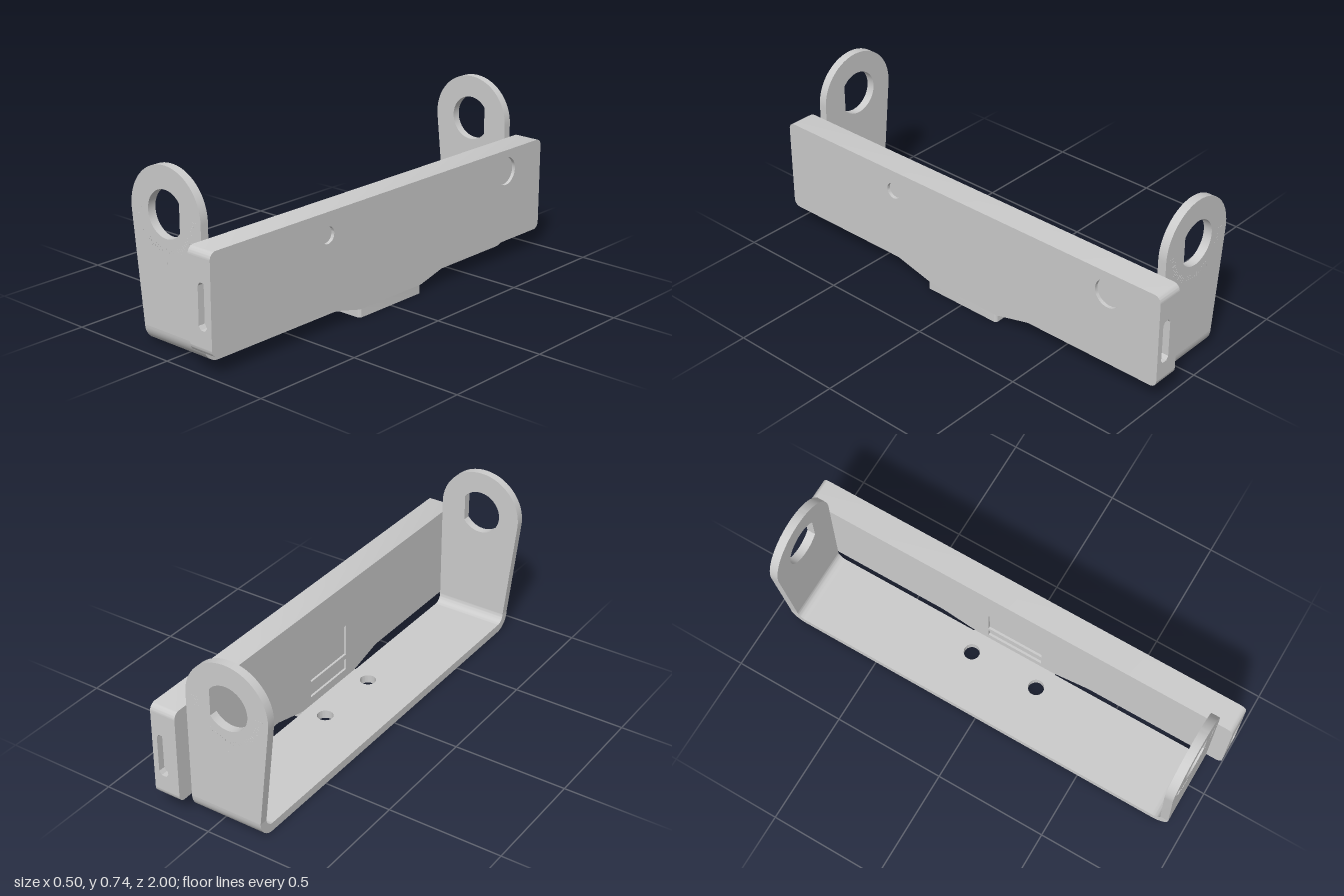
import * as THREE from 'three';
import { toCreasedNormals } from 'three/addons/utils/BufferGeometryUtils.js';

const V = (x, y) => new THREE.Vector2(x, y);
const mat = new THREE.MeshStandardMaterial({ color: 0xcccccc, side: THREE.DoubleSide });

function mesh(geo, name) {
  const m = new THREE.Mesh(geo, mat);
  m.name = name;
  return m;
}

// points along an arc, counter-clockwise from a0 to a1
function arc(cx, cy, r, a0, a1, n = 10) {
  return Array.from({ length: n + 1 }, (_, i) => {
    const a = a0 + (a1 - a0) * i / n;
    return V(cx + r * Math.cos(a), cy + r * Math.sin(a));
  });
}
const circle = (cx, cy, r, n = 36) => arc(cx, cy, r, 0, 2 * Math.PI, n).slice(0, -1);
const rect = (x0, y0, x1, y1) => [V(x0, y0), V(x1, y0), V(x1, y1), V(x0, y1)];

function shapeOf(pts, holes = []) {
  const s = new THREE.Shape(pts);
  holes.forEach(h => s.holes.push(new THREE.Path(h)));
  return s;
}

function extrude(pts, holes, depth) {
  const g = new THREE.ExtrudeGeometry(shapeOf(pts, holes), { depth, bevelEnabled: false });
  return toCreasedNormals(g, 0.6);
}

// wall following a polyline, from z = 0 back to z = -depth
function ribbon(pts, depth) {
  const pos = [], idx = [];
  pts.forEach((p, i) => {
    pos.push(p.x, p.y, 0, p.x, p.y, -depth);
    if (i) idx.push(2 * i - 2, 2 * i - 1, 2 * i, 2 * i, 2 * i - 1, 2 * i + 1);
  });
  const g = new THREE.BufferGeometry();
  g.setAttribute('position', new THREE.Float32BufferAttribute(pos, 3));
  g.setIndex(idx);
  return toCreasedNormals(g, 0.6);
}

// flat face with blind pockets sunk into it
function panel(name, outline, pockets, depth) {
  const g = new THREE.Group();
  g.name = name;
  g.add(mesh(new THREE.ShapeGeometry(shapeOf(outline, pockets)), name + 'Face'));
  pockets.forEach(p => {
    g.add(mesh(ribbon([...p, p[0]].reverse(), depth), 'pocketWall'));
    const floor = mesh(new THREE.ShapeGeometry(shapeOf(p)), 'pocketFloor');
    floor.position.z = -depth;
    g.add(floor);
  });
  return g;
}

// long housing beside the bracket
function createHousing() {
  const g = new THREE.Group();
  g.name = 'housing';
  const x0 = 0.133, x1 = 0.25, r = 0.03, y0 = 0.08, y1 = 0.495, H = Math.PI / 2;
  const top = [...arc(1 - r, y1 - r, r, 0, H), ...arc(r - 1, y1 - r, r, H, 2 * H)];
  const bottom = [
    ...arc(r - 1, y0 + r, r, 2 * H, 3 * H),
    V(-0.36, y0), V(-0.19, 0.037), V(0.19, 0.037), V(0.36, y0),
    ...arc(1 - r, y0 + r, r, 3 * H, 4 * H)];
  const outline = [...top, ...bottom];

  const outer = panel('outerSide', outline, [circle(-0.375, 0.4, 0.036), circle(0.755, 0.4, 0.062)], 0.015);
  outer.rotation.y = H;
  outer.position.x = x1;
  const inner = panel('innerSide', outline, [rect(-0.13, 0.15, 0.13, 0.295), rect(-0.13, 0.075, 0.13, 0.128)], 0.01);
  inner.rotation.y = -H;
  inner.position.x = x0;
  g.add(outer, inner);

  for (const [name, pts] of [['topRim', top], ['bottomRim', bottom]]) {
    const rim = mesh(ribbon(pts, x1 - x0), name);
    rim.rotation.y = H;
    rim.position.x = x1;
    g.add(rim);
  }

  // end faces with a chamfered slot
  for (const s of [1, -1]) {
    const cx = s * 0.204, w = 0.022, c = 0.011, a = 0.179, b = 0.367;
    const slot = [
      V(cx - c, a), V(cx + c, a), V(cx + w, a + 0.015), V(cx + w, b - 0.015),
      V(cx + c, b), V(cx - c, b), V(cx - w, b - 0.015), V(cx - w, a + 0.015)];
    const lo = Math.min(s * x0, s * x1), hi = Math.max(s * x0, s * x1);
    const end = panel('housingEnd', rect(lo, y0 + r, hi, y1 - r), [slot], 0.03);
    end.rotation.y = s > 0 ? 0 : Math.PI;
    end.position.z = s;
    g.add(end);
  }
  return g;
}

// U-shaped sheet bracket
function createBracket() {
  const g = new THREE.Group();
  g.name = 'bracket';
  const t = 0.037, R = 0.075, zB = 0.855, xl = -0.2, xr = 0.13, H = Math.PI / 2;

  // base with mounting holes and the side tab carrying the housing
  const f = 0.018, k = 0.012, tab = 0.19, xt = 0.25;
  const base = [
    V(xl, -zB), V(xr, -zB),
    ...arc(xr + f, -tab - f, f, 2 * H, H, 6),
    ...arc(xt - k, -tab + k, k, -H, 0, 6),
    ...arc(xt - k, tab - k, k, 0, H, 6),
    ...arc(xr + f, tab + f, f, -H, -2 * H, 6),
    V(xr, zB), V(xl, zB)];
  const holes = [];
  for (const s of [1, -1]) holes.push(circle(0.04, s * 0.16, 0.035), circle(0.165, s * 0.115, 0.012, 16));
  const plate = mesh(extrude(base, holes, t), 'basePlate');
  plate.rotation.x = -H;
  g.add(plate);

  // ear outline and keyed hole
  const cx = -0.06, cy = 0.553, er = 0.191;
  const ear = [V(xl, R), V(xr, R), ...arc(cx, cy, er, 0, Math.PI * 1.035, 48)];
  const key = Math.acos(0.077 / 0.097);
  const keyHole = arc(cx, cy, 0.097, key, 2 * Math.PI - key, 40);

  for (const s of [1, -1]) {
    const a0 = s > 0 ? -H : 2 * H;
    const bend = mesh(extrude(
      [...arc(s * zB, R, R, a0, a0 + H), ...arc(s * zB, R, R - t, a0 + H, a0)], [], xr - xl), 'bend');
    bend.rotation.y = -H;
    bend.position.x = xr;
    const plateEar = mesh(extrude(ear, [keyHole], t), 'ear');
    plateEar.position.z = s > 0 ? zB + R - t : -zB - R;
    g.add(bend, plateEar);

    // angle scale on the outer face
    const scale = new THREE.Group();
    scale.name = 'angleScale';
    const tick = (a, r, len) => {
      const m = mesh(new THREE.BoxGeometry(len, 0.0025, 0.001), 'tick');
      m.position.set(cx + r * Math.cos(a), cy + r * Math.sin(a), s * (zB + R));
      m.rotation.z = a;
      scale.add(m);
    };
    for (let i = 0; i <= 36; i++) {
      const len = i % 6 ? 0.02 : 0.032;
      tick(Math.PI + i * Math.PI / 36, 0.135 + len / 2, len);
    }
    tick(1.5 * Math.PI, 0.2, 0.018);
    g.add(scale);
  }
  return g;
}

export function createModel() {
  const model = new THREE.Group();
  model.name = 'mountingBracket';
  model.add(createBracket(), createHousing());
  return model;
}
